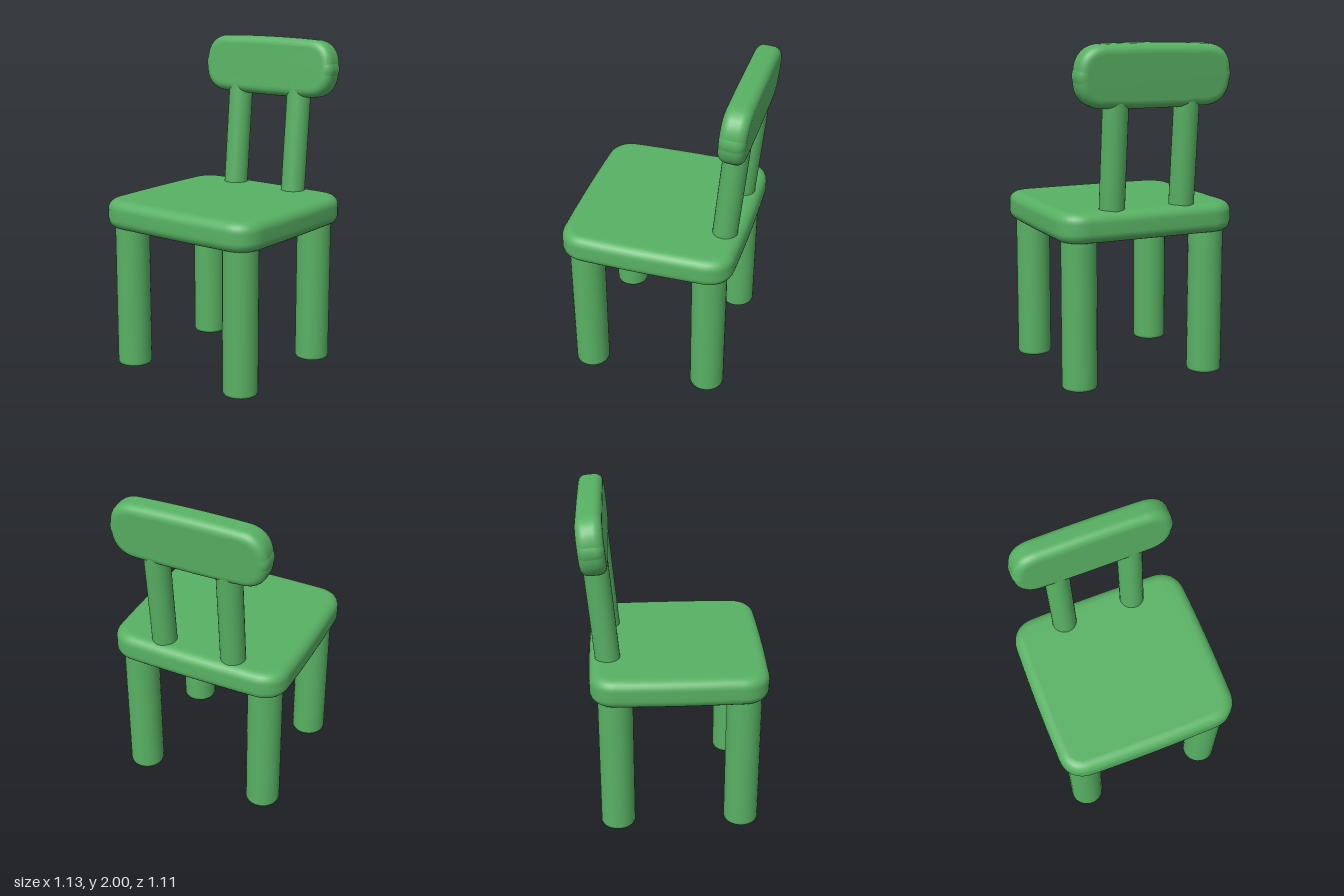
import * as THREE from 'three';
import { mergeVertices } from 'three/addons/utils/BufferGeometryUtils.js';

const green = new THREE.MeshStandardMaterial({ color: 0x58b163 });
green.name = 'green';

// Soft slab in the XY plane, centred, with round corners, soft rims and slightly bulging sides
function softSlab(width, height, depth, corner, rim) {
  const bulge = 0.012;
  const w = width / 2 - rim, h = height / 2 - rim;
  const a = w - bulge / 2, b = h - bulge / 2, c = corner;
  const s = new THREE.Shape();
  s.moveTo(-w + c, -b);
  s.quadraticCurveTo(0, -b - bulge, w - c, -b);
  s.bezierCurveTo(w - c * 0.4, -b, a, -h + c * 0.4, a, -h + c);
  s.quadraticCurveTo(a + bulge, 0, a, h - c);
  s.bezierCurveTo(a, h - c * 0.4, w - c * 0.4, b, w - c, b);
  s.quadraticCurveTo(0, b + bulge, -w + c, b);
  s.bezierCurveTo(-w + c * 0.4, b, -a, h - c * 0.4, -a, h - c);
  s.quadraticCurveTo(-a - bulge, 0, -a, -h + c);
  s.bezierCurveTo(-a, -h + c * 0.4, -w + c * 0.4, -b, -w + c, -b);
  const g = new THREE.ExtrudeGeometry(s, {
    depth: depth - 2 * rim, bevelThickness: rim, bevelSize: rim, bevelSegments: 6, curveSegments: 8,
  });
  g.translate(0, 0, rim - depth / 2);
  g.deleteAttribute('normal');
  g.deleteAttribute('uv');
  const smooth = mergeVertices(g, 1e-4);
  smooth.computeVertexNormals();
  return smooth;
}

// Round bar standing on y = 0 with softened end rims
function roundBar(radius, length) {
  const pts = [
    [0, 0], [radius - 0.018, 0], [radius - 0.014, 0], [radius - 0.004, 0.004], [radius, 0.014], [radius, 0.02],
    [radius, length - 0.02], [radius, length - 0.014], [radius - 0.014, length], [0, length],
  ].map(([x, y]) => new THREE.Vector2(x, y));
  return new THREE.LatheGeometry(pts, 28);
}

export function createModel() {
  const chair = new THREE.Group();
  chair.name = 'chair';
  const add = (name, geometry, x, y, z, tilt = 0) => {
    const m = new THREE.Mesh(geometry, green);
    m.name = name;
    m.position.set(x, y, z);
    m.rotation.x = tilt;
    chair.add(m);
  };

  // Seat
  const seat = softSlab(1.134, 1.066, 0.178, 0.11, 0.06);
  seat.rotateX(-Math.PI / 2);
  add('seat', seat, 0, 0.965, 0.022);

  // Legs and leaning back posts, mirrored left and right
  const lean = -0.087;
  const leg = roundBar(0.105, 0.93);
  const post = roundBar(0.075, 0.78);
  for (const [side, sx] of [['left', 1], ['right', -1]]) {
    add(side + 'FrontLeg', leg, sx * 0.413, 0, 0.404);
    add(side + 'BackLeg', leg, sx * 0.413, 0, -0.356);
    add(side + 'BackPost', post, sx * 0.224, 0.95, -0.388, lean);
  }

  // Backrest
  add('backrest', softSlab(0.96, 0.366, 0.152, 0.11, 0.05), 0, 1.814, -0.465, lean);
  return chair;
}
